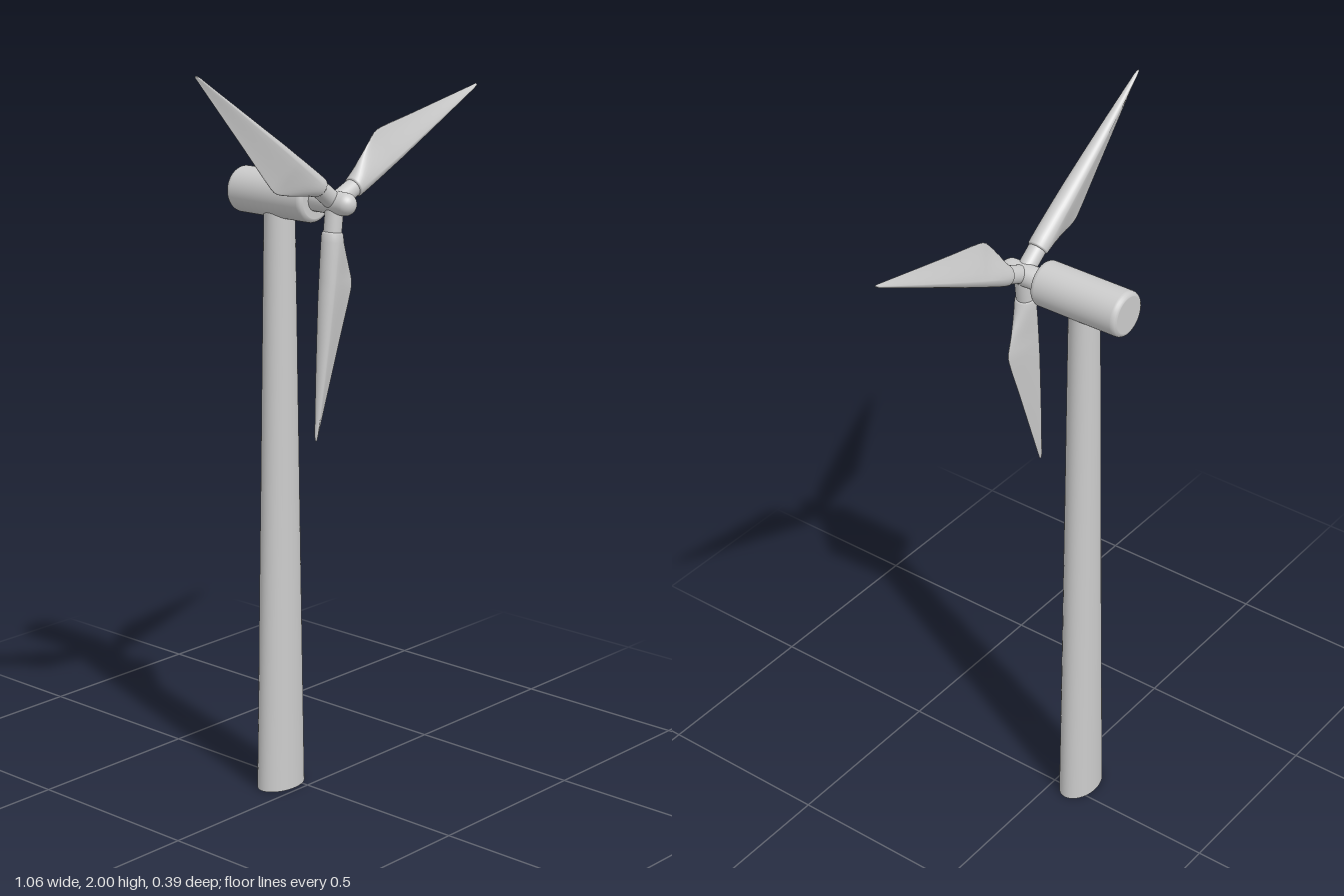
import * as THREE from 'three';

const material = new THREE.MeshStandardMaterial({ color: 0xcccccc });
const AXIS_X = -0.037, AXIS_Y = 1.634, ROTOR_Z = 0.127, TOWER_Z = -0.065;
const { lerp, smoothstep } = THREE.MathUtils;

function part(name, geometry) {
  const mesh = new THREE.Mesh(geometry, material);
  mesh.name = name;
  return mesh;
}

// Solid turned around the z axis from [radius, z] pairs
function turned(name, profile) {
  const points = profile.map(([r, z]) => new THREE.Vector2(r, z));
  return part(name, new THREE.LatheGeometry(points, 48).rotateX(Math.PI / 2));
}

// Tapered tower: oval at the foot, nearly round at the top
function tower() {
  const height = 1.6;
  const geometry = new THREE.CylinderGeometry(1, 1, height, 48).translate(0, height / 2, 0);
  const p = geometry.attributes.position;
  for (let i = 0; i < p.count; i++) {
    const t = p.getY(i) / height;
    p.setX(i, p.getX(i) * lerp(0.077, 0.042, t));
    p.setZ(i, p.getZ(i) * lerp(0.051, 0.04, t));
  }
  geometry.computeVertexNormals();
  const mesh = part('tower', geometry);
  mesh.position.set(AXIS_X, 0, TOWER_Z);
  return mesh;
}

// Blade along +x: round root blending into a teardrop section.
// Each station: distance, leading width, trailing width, half thickness
function bladeGeometry() {
  const stations = [
    [0.074, 0, 0, 0], [0.074, 0.024, 0.024, 0.024], [0.079, 0.028, 0.028, 0.028],
    [0.1, 0.028, 0.037, 0.028], [0.13, 0.027, 0.055, 0.028], [0.16, 0.026, 0.071, 0.0275],
    [0.185, 0.025, 0.083, 0.027], [0.2, 0.024, 0.089, 0.027], [0.215, 0.0235, 0.091, 0.0265],
    [0.23, 0.023, 0.089, 0.026], [0.26, 0.022, 0.083, 0.025], [0.35, 0.017, 0.062, 0.021],
    [0.45, 0.012, 0.04, 0.0155], [0.55, 0.007, 0.018, 0.009], [0.6, 0.005, 0.007, 0.0055],
    [0.614, 0.003, 0.004, 0.0035], [0.618, 0, 0, 0],
  ];
  const sides = 32, positions = [], index = [];
  stations.forEach(([u, lead, trail, thick], i) => {
    const sharp = smoothstep(u, 0.08, 0.2);
    for (let j = 0; j < sides; j++) {
      const a = (j / sides) * Math.PI * 2, c = Math.cos(a);
      const pinch = c > 0 ? lerp(1, 1 - 0.85 * c, sharp) : 1;
      positions.push(u, c * (c > 0 ? trail : lead), thick * Math.sin(a) * pinch);
      if (i === stations.length - 1) continue;
      const k = (j + 1) % sides, r = i * sides, s = r + sides;
      index.push(r + j, r + k, s + j, r + k, s + k, s + j);
    }
  });
  const geometry = new THREE.BufferGeometry();
  geometry.setAttribute('position', new THREE.Float32BufferAttribute(positions, 3));
  geometry.setIndex(index);
  geometry.computeVertexNormals();
  return geometry;
}

export function createModel() {
  const model = new THREE.Group();
  model.name = 'windTurbine';
  model.add(tower());

  // Generator housing with softened rims
  const nacelle = turned('nacelle', [
    [0, -0.2], [0.049, -0.2], [0.051, -0.2], [0.057, -0.197], [0.06, -0.192], [0.061, -0.187],
    [0.061, -0.185], [0.061, 0.048], [0.061, 0.05], [0.06, 0.055], [0.057, 0.06],
    [0.051, 0.063], [0.049, 0.063], [0, 0.063],
  ]);
  nacelle.position.set(AXIS_X, AXIS_Y, 0);
  model.add(nacelle);

  // Rotor: shaft with domed nose and three blades
  const rotor = new THREE.Group();
  rotor.name = 'rotor';
  rotor.position.set(AXIS_X, AXIS_Y, ROTOR_Z);
  const nose = [[0, -0.08], [0.03, -0.08], [0.03, 0.03]];
  for (let i = 1; i <= 8; i++) {
    const a = (i / 8) * Math.PI / 2;
    nose.push([0.03 * Math.cos(a), 0.035 + 0.03 * Math.sin(a)]);
  }
  rotor.add(turned('hub', nose));

  const blade = bladeGeometry();
  const root = new THREE.CylinderGeometry(0.024, 0.024, 0.078, 32)
    .rotateZ(-Math.PI / 2).translate(0.039, 0, 0);
  for (let i = 0; i < 3; i++) {
    const arm = new THREE.Group();
    arm.name = `bladeArm${i + 1}`;
    arm.rotation.z = THREE.MathUtils.degToRad(23.5 + i * 120);
    arm.add(part('bladeRoot', root), part('blade', blade));
    rotor.add(arm);
  }
  model.add(rotor);
  return model;
}
